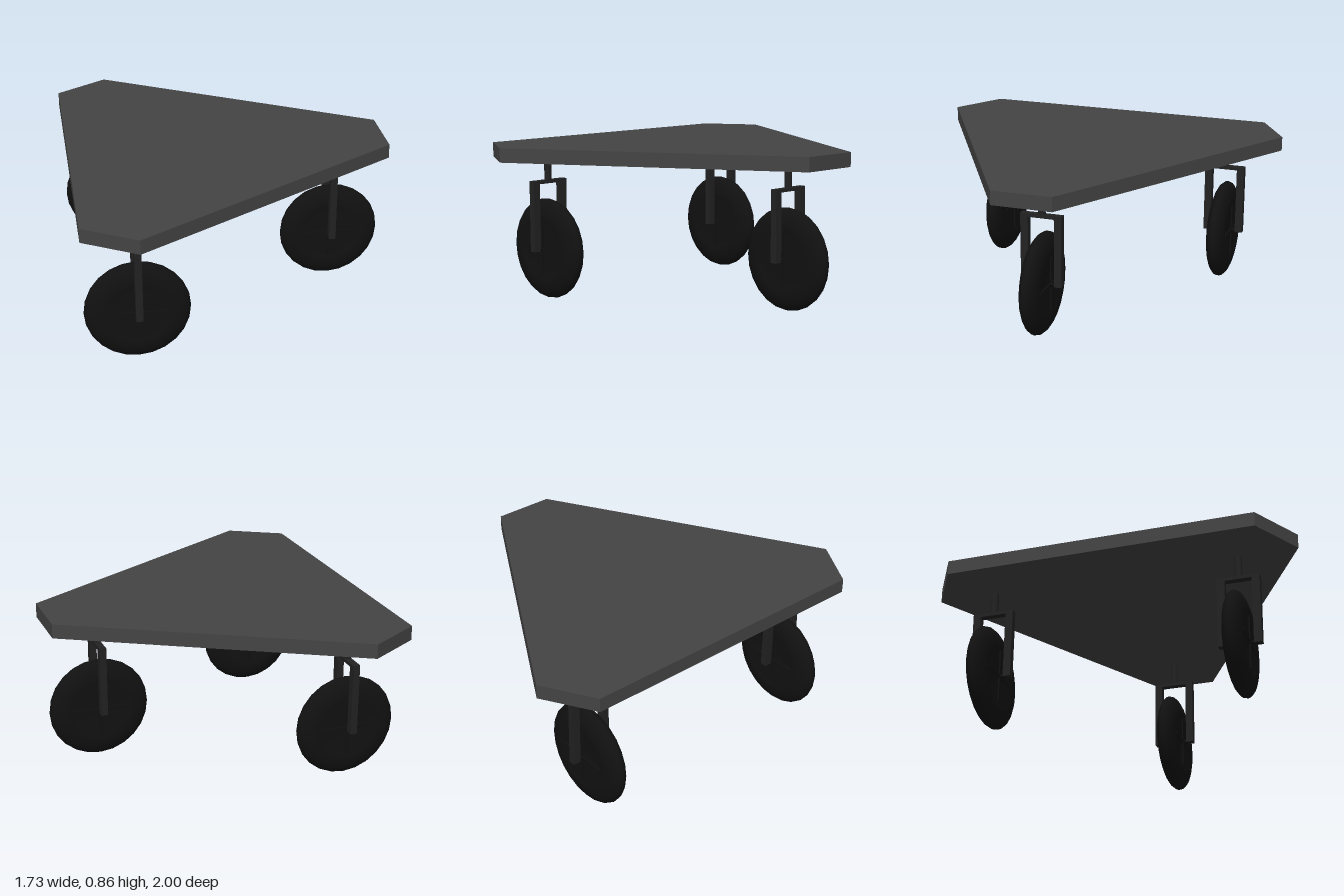
import * as THREE from 'three';

const deckMat = new THREE.MeshStandardMaterial({ color: 0x444444 });
const forkMat = new THREE.MeshStandardMaterial({ color: 0x222222 });
const tyreMat = new THREE.MeshStandardMaterial({ color: 0x111111 });

function add(parent, name, geometry, material, x = 0, y = 0, z = 0) {
  const mesh = new THREE.Mesh(geometry, material);
  mesh.name = name;
  mesh.position.set(x, y, z);
  parent.add(mesh);
  return mesh;
}

// Triangular deck with cut corners
function createDeck() {
  const corners = [[-0.865, 0.835], [-0.585, 1], [0.865, 0.165], [0.865, -0.165], [-0.585, -1], [-0.865, -0.835]];
  const shape = new THREE.Shape(corners.map(([x, z]) => new THREE.Vector2(x, z)));
  const geometry = new THREE.ExtrudeGeometry(shape, { depth: 0.078, bevelEnabled: false });
  geometry.rotateX(-Math.PI / 2);
  return geometry;
}

// Rounded tyre around a slightly recessed disc
function createTyre() {
  const profile = [new THREE.Vector2(0, -0.045), new THREE.Vector2(0.14, -0.045)];
  for (let i = 0; i <= 12; i++) {
    const a = -Math.PI / 2 + (i / 12) * Math.PI;
    profile.push(new THREE.Vector2(0.165 + 0.113 * Math.cos(a), 0.052 * Math.sin(a)));
  }
  profile.push(new THREE.Vector2(0.14, 0.045), new THREE.Vector2(0, 0.045));
  return new THREE.LatheGeometry(profile, 24).rotateX(Math.PI / 2);
}

// Caster: stem, two-armed fork, axle and spoked wheel
function createCaster() {
  const caster = new THREE.Group();
  add(caster, 'stem', new THREE.CylinderGeometry(0.02, 0.02, 0.13, 12), forkMat, 0, 0.723, 0);
  add(caster, 'forkBridge', new THREE.BoxGeometry(0.037, 0.018, 0.228), forkMat, 0, 0.657, 0);
  for (const side of [-1, 1]) {
    add(caster, 'forkArm', new THREE.BoxGeometry(0.037, 0.391, 0.042), forkMat, 0, 0.4705, side * 0.093);
  }
  add(caster, 'axle', new THREE.CylinderGeometry(0.01, 0.01, 0.19, 12).rotateX(Math.PI / 2), tyreMat, 0, 0.283, 0);
  add(caster, 'tyre', createTyre(), tyreMat, 0, 0.283, 0);
  add(caster, 'spokeAcross', new THREE.BoxGeometry(0.31, 0.02, 0.106), tyreMat, 0, 0.283, 0);
  add(caster, 'spokeUpright', new THREE.BoxGeometry(0.02, 0.3, 0.106), tyreMat, 0, 0.287, 0);
  return caster;
}

export function createModel() {
  const model = new THREE.Group();
  model.name = 'threeWheeledDolly';
  add(model, 'deck', createDeck(), deckMat, 0, 0.785, 0);

  // One caster near each corner of the deck
  const places = [['casterFront', -0.58, 0.68], ['casterBack', -0.58, -0.68], ['casterLeft', 0.58, 0]];
  for (const [name, x, z] of places) {
    const caster = createCaster();
    caster.name = name;
    caster.position.set(x, 0, z);
    model.add(caster);
  }
  return model;
}
